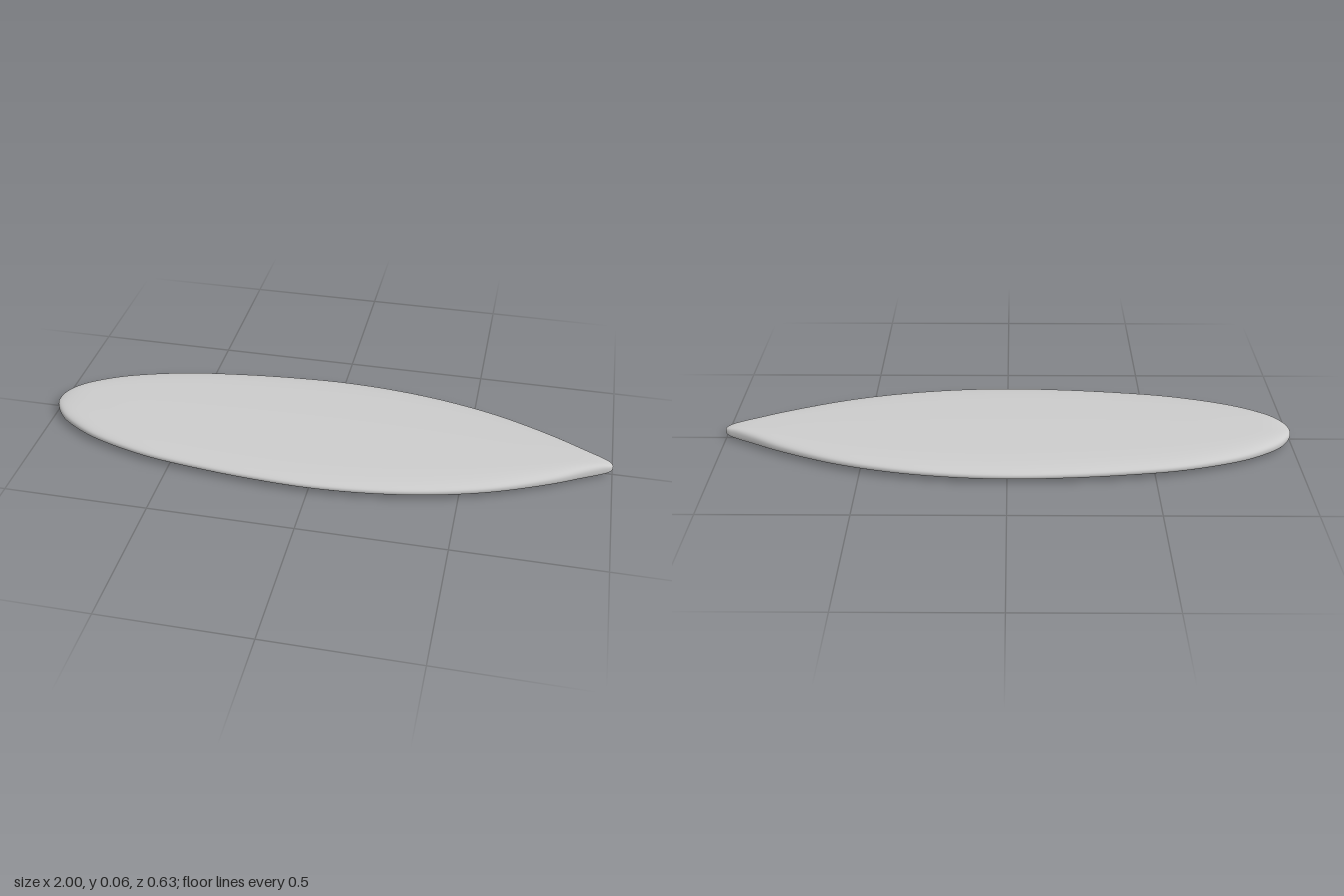
import * as THREE from 'three';

// Half outline of the board: [x, half width], blunt tail at -x, pointed nose at +x
const OUTLINE = [
  [-1, 0], [-0.998, 0.018], [-0.985, 0.05], [-0.95, 0.096], [-0.9, 0.135], [-0.8, 0.19],
  [-0.6, 0.254], [-0.4, 0.287], [-0.2, 0.307], [0, 0.315], [0.2, 0.303], [0.4, 0.27],
  [0.6, 0.212], [0.8, 0.122], [0.9, 0.064], [0.96, 0.031], [0.985, 0.018], [0.997, 0.008], [1, 0],
];
const HALF_THICKNESS = 0.029;
const SECTIONS = 144;
const SIDES = 72;

// Loft of flattened superellipse sections along the outline
function boardGeometry() {
  const outline = new THREE.CatmullRomCurve3(OUTLINE.map(([x, w]) => new THREE.Vector3(x, w, 0)));
  const power = (v, p) => Math.sign(v) * Math.abs(v) ** p;
  const positions = [];
  const indices = [];
  for (let i = 0; i <= SECTIONS; i++) {
    const p = outline.getPoint(i / SECTIONS);
    const x = THREE.MathUtils.clamp(p.x, -1, 1);
    const width = Math.max(p.y, 0);
    // Full thickness along the board, rounded off close to both tips
    const height = HALF_THICKNESS * (1 - Math.abs(x) ** 19) ** 0.4;
    for (let j = 0; j < SIDES; j++) {
      const a = (j / SIDES) * Math.PI * 2;
      positions.push(x, height * power(Math.sin(a), 0.8), width * power(Math.cos(a), 0.5));
      if (i === SECTIONS) continue;
      const k = (j + 1) % SIDES;
      const row = i * SIDES;
      const next = row + SIDES;
      if (i < SECTIONS - 1) indices.push(row + j, next + j, next + k);
      else indices.push(row + j, next + j, row + k);
      if (i > 0 && i < SECTIONS - 1) indices.push(row + j, next + k, row + k);
    }
  }
  const geometry = new THREE.BufferGeometry();
  geometry.setAttribute('position', new THREE.Float32BufferAttribute(positions, 3));
  geometry.setIndex(indices);
  geometry.computeVertexNormals();
  return geometry;
}

export function createModel() {
  const group = new THREE.Group();
  group.name = 'surfboard';
  const board = new THREE.Mesh(boardGeometry(), new THREE.MeshStandardMaterial({ color: 0xcccccc }));
  board.name = 'board';
  board.position.y = HALF_THICKNESS;
  group.add(board);
  return group;
}
